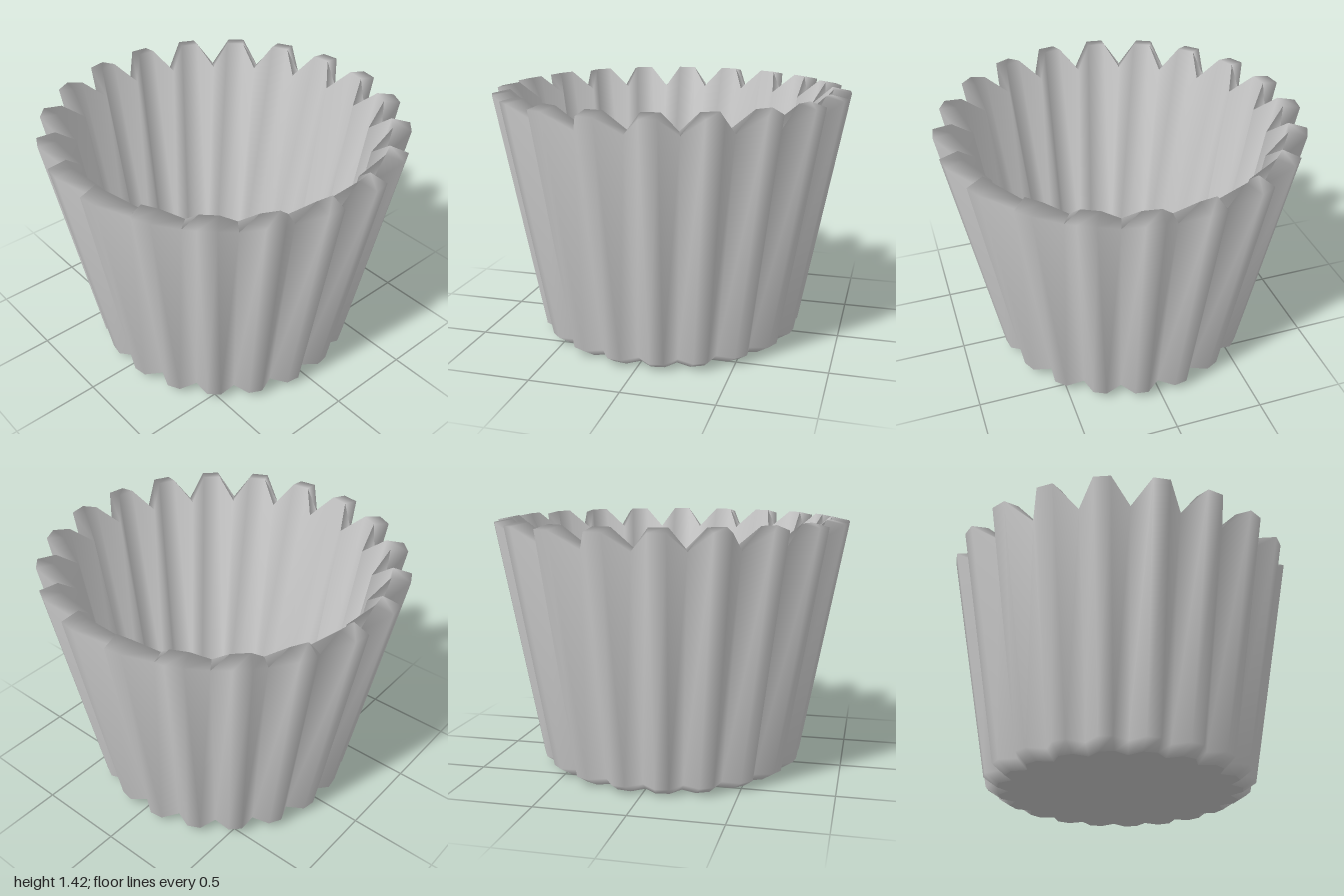
import * as THREE from 'three';

const LOBES = 20;
const STEP = (Math.PI * 2) / LOBES;

// Each ring: [valley radius, valley y, peak radius, peak y, half width of the flat peak in degrees]
const RINGS = [
  [0.62, 0.0, 0.68, 0.0, 3.2],       // underside edge
  [0.685, 0.05, 0.756, 0.05, 2.9],   // foot bevel
  [0.88, 1.3, 1.006, 1.4, 2.7],      // outer rim
  [0.805, 1.31, 0.905, 1.42, 3.1],   // inner rim
  [0.62, 0.05, 0.68, 0.05, 4.0],     // inner floor edge
];

// Points of one fluted ring: a valley, then the two corners of the flat peak
function ringPoints([valleyR, valleyY, peakR, peakY, half]) {
  const h = THREE.MathUtils.degToRad(half);
  const points = [];
  const add = (r, a, y) => points.push(new THREE.Vector3(r * Math.cos(a), y, -r * Math.sin(a)));
  for (let i = 0; i < LOBES; i++) {
    const mid = (i + 0.5) * STEP;
    add(valleyR, i * STEP, valleyY);
    add(peakR, mid - h, peakY);
    add(peakR, mid + h, peakY);
  }
  return points;
}

// Smooth wall skinned through successive rings
function wallGeometry(rings) {
  const loops = rings.map(ringPoints);
  const n = loops[0].length;
  const index = [];
  for (let r = 0; r < loops.length - 1; r++) {
    for (let i = 0; i < n; i++) {
      const j = (i + 1) % n;
      const a = r * n + i, b = r * n + j, c = a + n, d = b + n;
      index.push(a, b, d, a, d, c);
    }
  }
  const geometry = new THREE.BufferGeometry().setFromPoints(loops.flat());
  geometry.setIndex(index);
  geometry.computeVertexNormals();
  return geometry;
}

// Flat fluted disc filling a ring
function discGeometry(ring, faceUp) {
  const points = ringPoints(ring);
  const n = points.length;
  points.push(new THREE.Vector3(0, ring[1], 0));
  const index = [];
  for (let i = 0; i < n; i++) {
    const j = (i + 1) % n;
    index.push(n, faceUp ? i : j, faceUp ? j : i);
  }
  const geometry = new THREE.BufferGeometry().setFromPoints(points);
  geometry.setIndex(index);
  geometry.computeVertexNormals();
  return geometry;
}

export function createModel() {
  const group = new THREE.Group();
  group.name = 'flutedCup';
  const material = new THREE.MeshStandardMaterial({ color: 0xcccccc });
  const add = (name, geometry) => {
    const mesh = new THREE.Mesh(geometry, material);
    mesh.name = name;
    group.add(mesh);
  };

  add('flutedWall', wallGeometry(RINGS));
  add('innerFloor', discGeometry(RINGS[4], true));
  add('underside', discGeometry(RINGS[0], false));
  return group;
}
